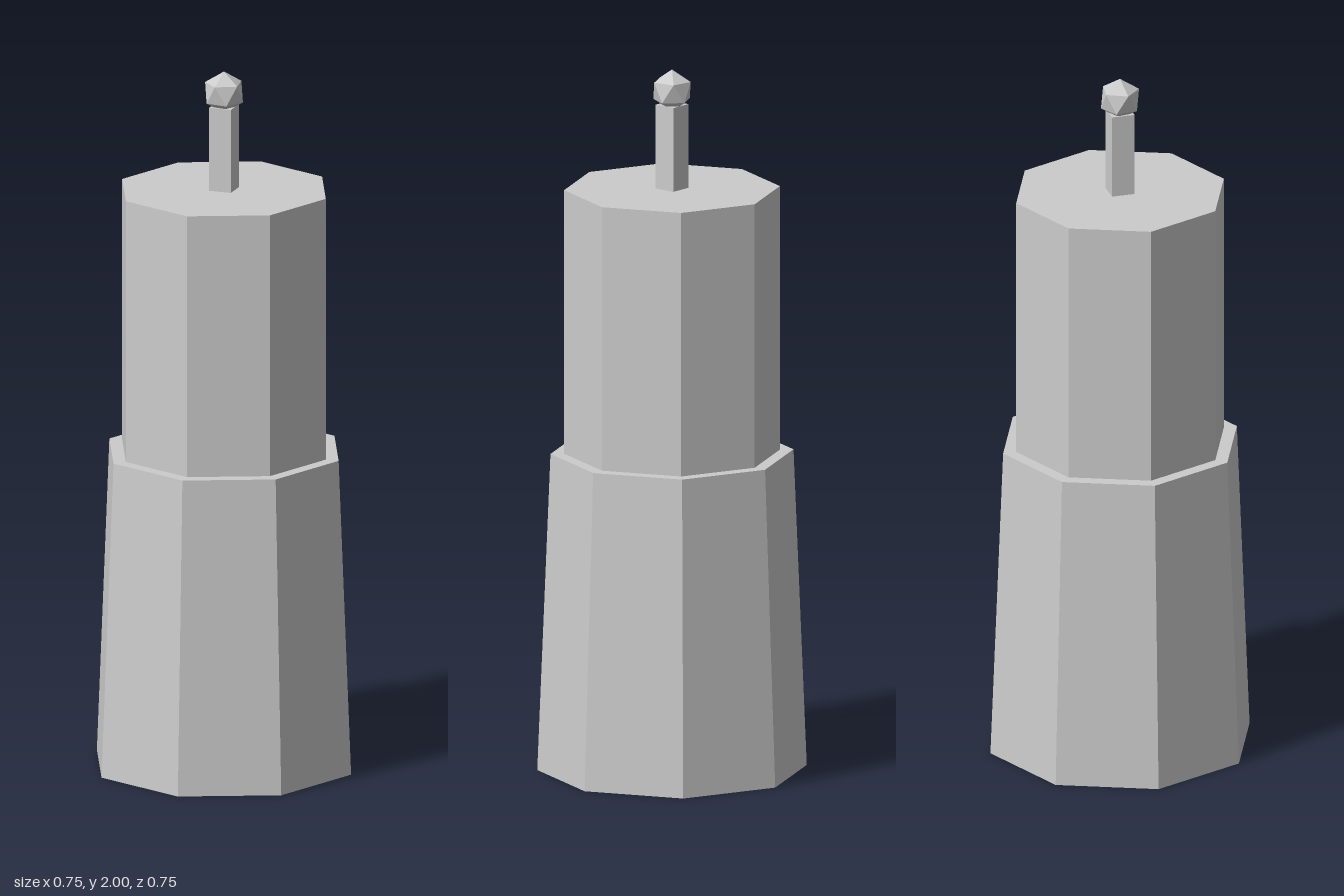
import * as THREE from 'three';

export function createModel() {
  const model = new THREE.Group();
  model.name = 'tower';
  const grey = new THREE.MeshStandardMaterial({ color: 0xcccccc, flatShading: true });
  grey.name = 'light grey';

  // Prism standing between two heights, with a corner facing the front
  function addPrism(name, topRadius, bottomRadius, y0, y1, sides) {
    const geometry = new THREE.CylinderGeometry(topRadius, bottomRadius, y1 - y0, sides);
    geometry.translate(0, (y0 + y1) / 2, 0);
    const mesh = new THREE.Mesh(geometry, grey);
    mesh.name = name;
    model.add(mesh);
  }

  addPrism('taperedBase', 0.34, 0.377, 0, 0.905, 8);
  addPrism('upperDrum', 0.302, 0.302, 0.905, 1.66, 8);
  addPrism('mast', 0.046, 0.046, 1.66, 1.9, 4);

  // Faceted ball, turned so that one corner points straight up
  const ball = new THREE.IcosahedronGeometry(0.06, 0);
  ball.rotateZ(-Math.atan(2 / (1 + Math.sqrt(5))));
  ball.translate(0, 1.94, 0);
  const finial = new THREE.Mesh(ball, grey);
  finial.name = 'finialBall';
  model.add(finial);

  return model;
}
